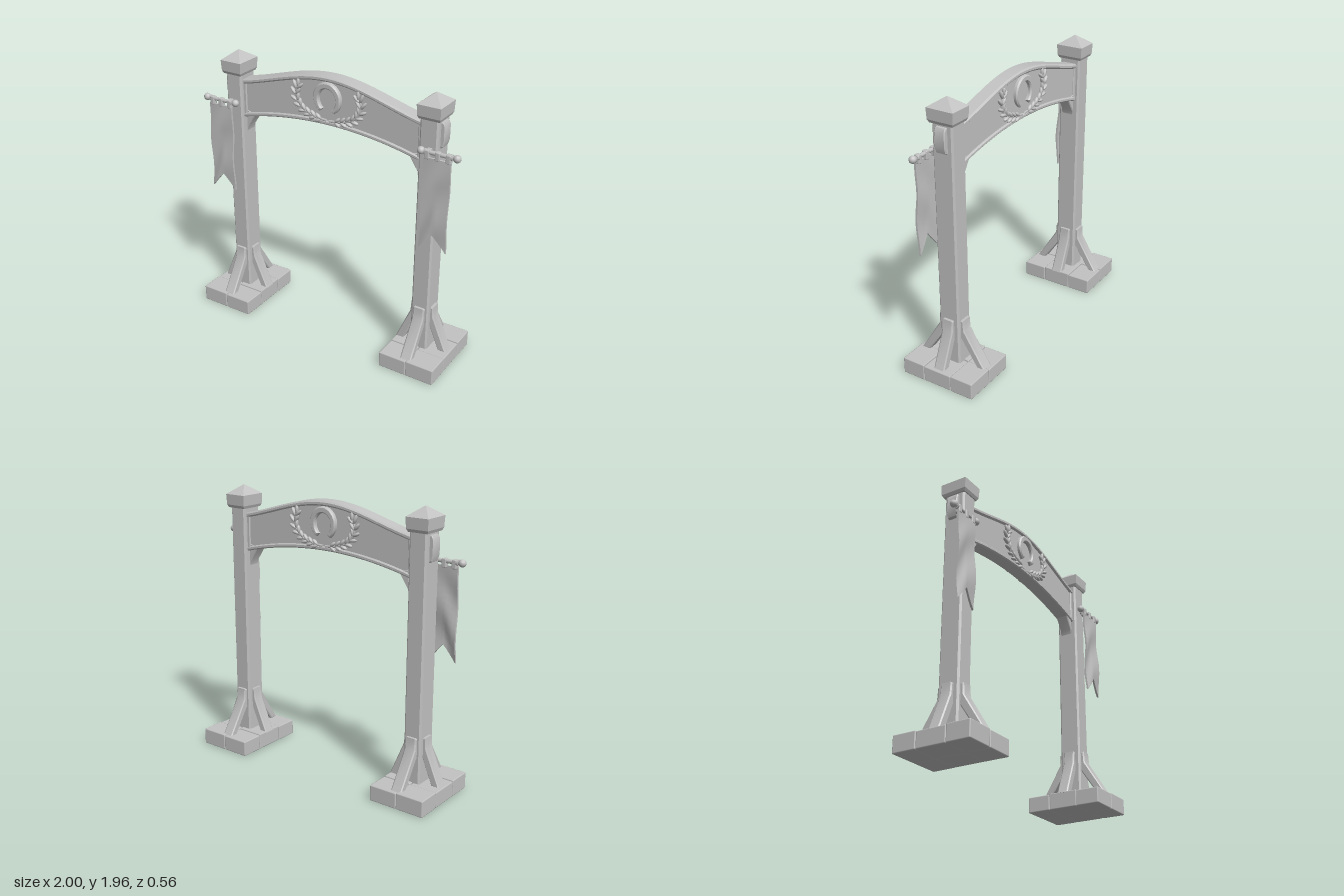
import * as THREE from 'three';
import { toCreasedNormals } from 'three/addons/utils/BufferGeometryUtils.js';
import { RoundedBoxGeometry } from 'three/addons/geometries/RoundedBoxGeometry.js';

const stone = new THREE.MeshStandardMaterial({ color: 0xc2c2c2 });
stone.name = 'pale grey';

function add(parent, name, geometry, x = 0, y = 0, z = 0) {
  const mesh = new THREE.Mesh(geometry, stone);
  mesh.name = name;
  mesh.position.set(x, y, z);
  parent.add(mesh);
  return mesh;
}

// Extrudes an outline to a total depth, centred on z, with edges bevelled inwards
function slab(points, depth, bevel = 0.006) {
  const shape = new THREE.Shape(points.map(([x, y]) => new THREE.Vector2(x, y)));
  const g = new THREE.ExtrudeGeometry(shape, {
    depth: depth - 2 * bevel, bevelEnabled: bevel > 0, bevelSize: bevel,
    bevelThickness: bevel, bevelOffset: -bevel, bevelSegments: 1,
  });
  g.translate(0, 0, -(depth - 2 * bevel) / 2);
  return toCreasedNormals(g, 0.5);
}

// Upper and lower edges of the arched sign
const topY = (x) => {
  const t = x / 0.7;
  return 1.77 + 0.075 * (1 - t * t + 0.5 * (1 + Math.cos(Math.PI * t)));
};
const lowY = (x) => 1.585 - 0.09 * (x / 0.69) ** 2;

// Closed outline between two curves
function band(upper, lower, half, n = 28) {
  const pts = [];
  for (let i = 0; i <= n; i++) {
    const x = -half + (2 * half * i) / n;
    pts.push([x, lower(x)]);
  }
  for (let i = n; i >= 0; i--) {
    const x = -half + (2 * half * i) / n;
    pts.push([x, upper(x)]);
  }
  return pts;
}

function addSign(root) {
  const sign = new THREE.Group();
  sign.name = 'archedSign';
  root.add(sign);
  add(sign, 'signPanel', slab(band((x) => topY(x) - 0.01, (x) => lowY(x) + 0.01, 0.72), 0.082, 0));
  add(sign, 'topRail', slab(band(topY, (x) => topY(x) - 0.035, 0.71), 0.112, 0.01));
  add(sign, 'bottomRail', slab(band((x) => lowY(x) + 0.03, lowY, 0.71), 0.106, 0.008));

  // Raised emblem, repeated on both faces
  for (const face of [0, Math.PI]) {
    const emblem = new THREE.Group();
    emblem.name = face ? 'backEmblem' : 'frontEmblem';
    emblem.rotation.y = face;
    sign.add(emblem);
    addHorseshoe(emblem);
    for (const s of [-1, 1]) addLaurel(emblem, s);
  }
}

function addHorseshoe(parent) {
  const outer = [], inner = [];
  for (let i = 0; i <= 24; i++) {
    const a = THREE.MathUtils.degToRad(-58 + (296 * i) / 24);
    outer.push([0.107 * Math.cos(a), 1.773 + 0.112 * Math.sin(a)]);
    inner.unshift([0.066 * Math.cos(a), 1.765 + 0.075 * Math.sin(a)]);
  }
  add(parent, 'horseshoe', slab([...outer, ...inner], 0.036, 0.009), 0, 0, 0.05);
}

function addLaurel(parent, s) {
  const stem = new THREE.CatmullRomCurve3([
    [0.01, 1.615], [0.1, 1.625], [0.2, 1.665], [0.25, 1.74], [0.24, 1.82],
  ].map(([x, y]) => new THREE.Vector3(s * x, y, 0.045)));
  add(parent, 'laurelStem', new THREE.TubeGeometry(stem, 16, 0.009, 6));
  const leaf = new THREE.SphereGeometry(1, 8, 6);
  for (let i = 0; i < 8; i++) {
    const t = 0.12 + i * 0.115;
    const p = stem.getPointAt(t), d = stem.getTangentAt(t);
    const along = Math.atan2(d.y, d.x);
    for (const side of [-1, 1]) {
      const a = along + side * 0.62, len = 0.026 + 0.009 * t;
      const m = add(parent, 'laurelLeaf', leaf,
        p.x + Math.cos(a) * len, p.y + Math.sin(a) * len, 0.049);
      m.scale.set(len, 0.012, 0.015);
      m.rotation.z = a;
    }
  }
  const tip = add(parent, 'laurelTip', leaf, s * 0.232, 1.842, 0.049);
  tip.scale.set(0.012, 0.032, 0.014);
}

function addFoot(side, s) {
  // Plinth of six worn stones
  add(side, 'plinthCore', new THREE.BoxGeometry(0.395, 0.1, 0.535), s * 0.77, 0.052, 0);
  const depths = [0.17, 0.214, 0.17];
  for (let i = 0; i < 2; i++) {
    for (let j = 0; j < 3; j++) {
      const h = 0.113 + 0.005 * ((i + j) % 2);
      const w = 0.205 - 0.003 * (j % 2);
      add(side, 'plinthStone', new RoundedBoxGeometry(w, h, depths[j], 1, 0.008),
        s * (0.77 + (i - 0.5) * 0.206), h / 2, (j - 1) * 0.193);
    }
  }
  // Four leaning braces
  for (let k = 0; k < 4; k++) {
    const alongX = k % 2 === 0;
    const h = alongX ? 0.062 : 0.074, reach = alongX ? 0.195 : 0.257;
    const brace = add(side, 'brace', slab([
      [h - 0.01, 0.44], [h + 0.022, 0.44], [h + 0.028, 0.36], [reach, 0.11],
      [reach - 0.06, 0.11], [h - 0.01, 0.31],
    ], 0.082, 0.008), s * 0.757);
    brace.rotation.y = (k * Math.PI) / 2;
  }
}

function addPost(side, s) {
  const x = 0.065, z = 0.077, c = 0.012;
  const post = slab([
    [x, z - c], [x - c, z], [c - x, z], [-x, z - c],
    [-x, c - z], [c - x, -z], [x - c, -z], [x, c - z],
  ], 1.74, 0);
  post.rotateX(-Math.PI / 2);
  add(side, 'post', post, s * 0.757, 0.95, 0);

  // Pointed cap, slightly flared below its roof
  const r = Math.SQRT2;
  const tier = (name, top, bottom, y0, y1) => {
    let g = new THREE.CylinderGeometry(top * r, bottom * r, y1 - y0, 4);
    g.rotateY(Math.PI / 4);
    g.scale(0.84, 1, 1);
    add(side, name, toCreasedNormals(g, 0.3), s * 0.76, (y0 + y1) / 2, 0);
  };
  tier('capUnderside', 0.095, 0.085, 1.8, 1.82);
  tier('capBlock', 0.099, 0.095, 1.82, 1.895);
  tier('capRoof', 0.001, 0.099, 1.895, 1.96);

  // Beam end on the outer face and bracket under the sign
  add(side, 'beamEnd', slab([
    [s * 0.8, 1.6], [s * 0.838, 1.62], [s * 0.85, 1.66], [s * 0.85, 1.76], [s * 0.838, 1.785], [s * 0.8, 1.79],
  ], 0.08));
  add(side, 'cornerBracket', slab([
    [s * 0.68, 1.39], [s * 0.7, 1.41], [s * 0.6, 1.53], [s * 0.68, 1.55],
  ].map(([px, py], i) => (i === 1 ? [s * 0.67, 1.425] : [px, py])), 0.09));
  add(side, 'signEndRail', slab([
    [s * 0.67, 1.5], [s * 0.71, 1.49], [s * 0.71, 1.765], [s * 0.67, 1.765],
  ], 0.1));
}

function addBanner(side, s) {
  const rod = new THREE.CylinderGeometry(0.014, 0.014, 0.25, 10);
  rod.rotateZ(Math.PI / 2);
  add(side, 'bannerRod', rod, s * 0.848, 1.605, 0.107);
  for (const x of [0.725, 0.973]) {
    add(side, 'rodKnob', new THREE.SphereGeometry(0.026, 12, 8), s * x, 1.605, 0.107);
    const collar = new THREE.CylinderGeometry(0.02, 0.02, 0.014, 10);
    collar.rotateZ(Math.PI / 2);
    add(side, 'rodCollar', collar, s * (x < 0.8 ? x + 0.034 : x - 0.034), 1.605, 0.107);
  }
  add(side, 'rodMount', new THREE.BoxGeometry(0.03, 0.03, 0.05), s * 0.775, 1.605, 0.09);
  for (const x of [0.772, 0.846, 0.92]) {
    add(side, 'bannerLoop', new RoundedBoxGeometry(0.034, 0.062, 0.038, 1, 0.008), s * x, 1.592, 0.109);
  }

  // Rippled cloth with a swallowtail hem
  const cloth = new THREE.BoxGeometry(0.19, 1, 0.014, 8, 14, 1);
  const p = cloth.attributes.position;
  for (let i = 0; i < p.count; i++) {
    const x = p.getX(i), t = 0.5 - p.getY(i);
    const hem = 0.935 + 0.115 * (1 - Math.abs(x) / 0.095);
    const ripple = 0.009 * Math.sin(t * 9 + x * 22) * Math.min(1, t * 3);
    p.setXYZ(i, s * 0.846 + x, 1.575 + (hem - 1.575) * t, 0.118 + 0.008 * t + p.getZ(i) + ripple);
  }
  cloth.computeVertexNormals();
  add(side, 'bannerCloth', cloth);
}

export function createModel() {
  const root = new THREE.Group();
  root.name = 'gateway';
  addSign(root);
  for (const s of [-1, 1]) {
    const side = new THREE.Group();
    side.name = s > 0 ? 'leftPost' : 'rightPost';
    root.add(side);
    addFoot(side, s);
    addPost(side, s);
    addBanner(side, s);
  }
  return root;
}
